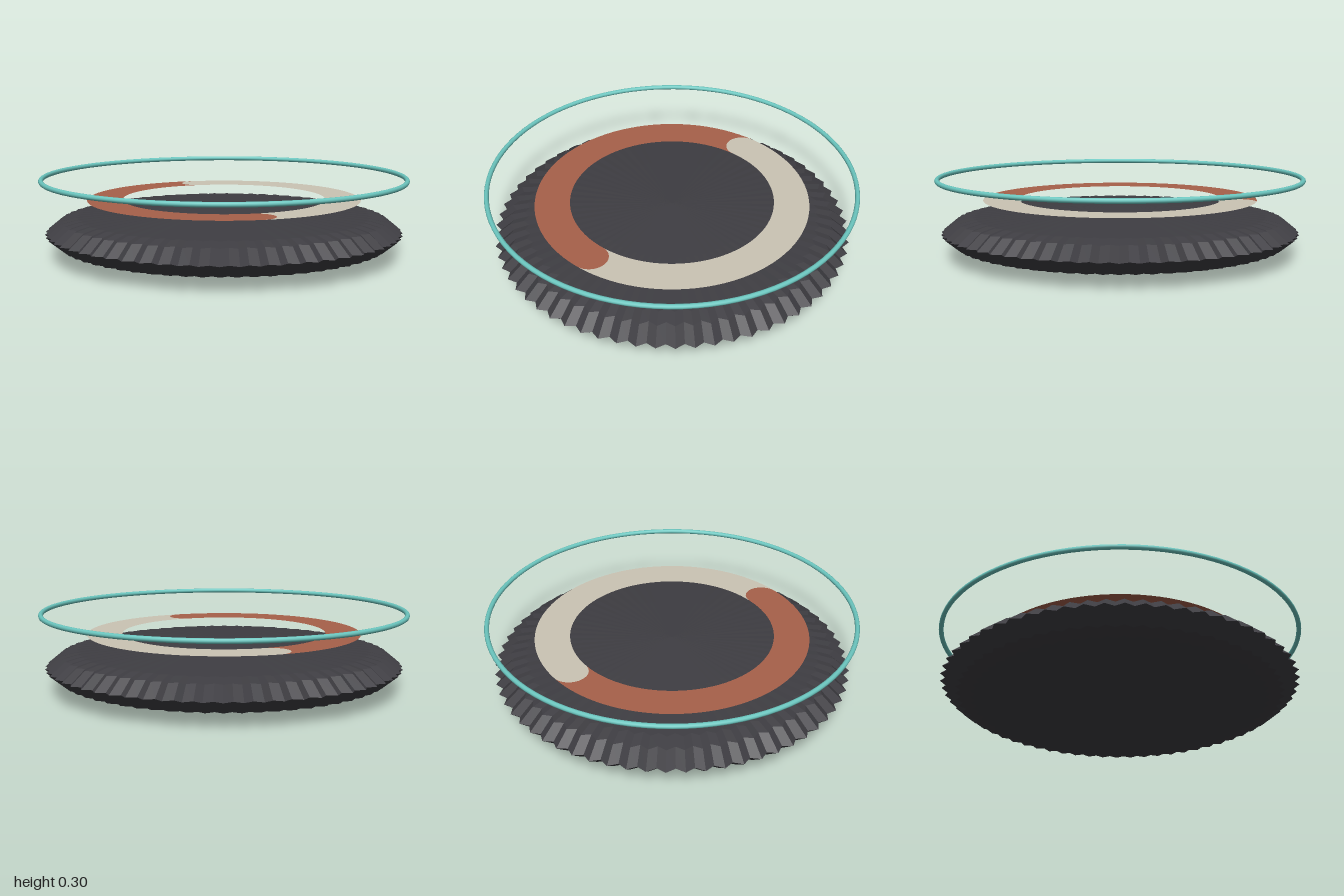
import * as THREE from 'three';

const material = (name, color, extra = {}) =>
  new THREE.MeshStandardMaterial({ name, color, ...extra });

const charcoal = material('charcoal', 0x3e3d42, { flatShading: true });
const rust = material('rust', 0xa7604a, { side: THREE.DoubleSide });
const cream = material('cream', 0xcbc4b4, { side: THREE.DoubleSide });
const teal = material('teal', 0x6cc7c0);

const TEETH = 64;

// Lens-shaped disc whose radius alternates to form fluted teeth.
function flutedDisc() {
  const half = [[0, 0.095], [0.3, 0.077], [0.55, 0.06], [0.605, 0.047]];
  const mid = 0.097;
  const profile = [
    ...half.map(([r, h]) => new THREE.Vector2(r, mid - h)),
    new THREE.Vector2(0.662, mid),
    ...half.slice().reverse().map(([r, h]) => new THREE.Vector2(r, mid + h)),
  ];
  const geometry = new THREE.LatheGeometry(profile, TEETH * 2);
  const pos = geometry.attributes.position;
  for (let i = 0; i < pos.count; i++) {
    const column = Math.floor(i / profile.length);
    const k = column % 2 === 0 ? 1.016 : 0.984;
    pos.setX(i, pos.getX(i) * k);
    pos.setZ(i, pos.getZ(i) * k);
  }
  geometry.computeVertexNormals();
  return geometry;
}

// Half of a flat ring: a round cap at its start, a matching hollow at its end.
function halfBand(start) {
  const inner = 0.383, outer = 0.515;
  const middle = (inner + outer) / 2, cap = (outer - inner) / 2;
  const end = start - Math.PI;
  const cx = Math.cos(start) * middle, cy = Math.sin(start) * middle;
  const shape = new THREE.Shape();
  shape.absarc(0, 0, outer, start, end, true);
  shape.absarc(-cx, -cy, cap, end, start, false);
  shape.absarc(0, 0, inner, end, start, false);
  shape.absarc(cx, cy, cap, start + Math.PI, start, true);
  return new THREE.ShapeGeometry(shape, 24).rotateX(-Math.PI / 2);
}

export function createModel() {
  const model = new THREE.Group();
  model.name = 'flutedDiscWithRings';

  const add = (name, geometry, mat, y = 0) => {
    const mesh = new THREE.Mesh(geometry, mat);
    mesh.name = name;
    mesh.position.y = y;
    model.add(mesh);
  };

  add('flutedDisc', flutedDisc(), charcoal);

  // Two interlocking half bands floating above the disc
  const start = THREE.MathUtils.degToRad(66.3);
  add('creamBand', halfBand(start), cream, 0.218);
  add('rustBand', halfBand(start + Math.PI), rust, 0.218);

  // Thin hoop hovering on top
  const hoop = new THREE.TorusGeometry(0.683, 0.009, 10, 96).rotateX(Math.PI / 2);
  add('hoop', hoop, teal, 0.297);

  return model;
}
